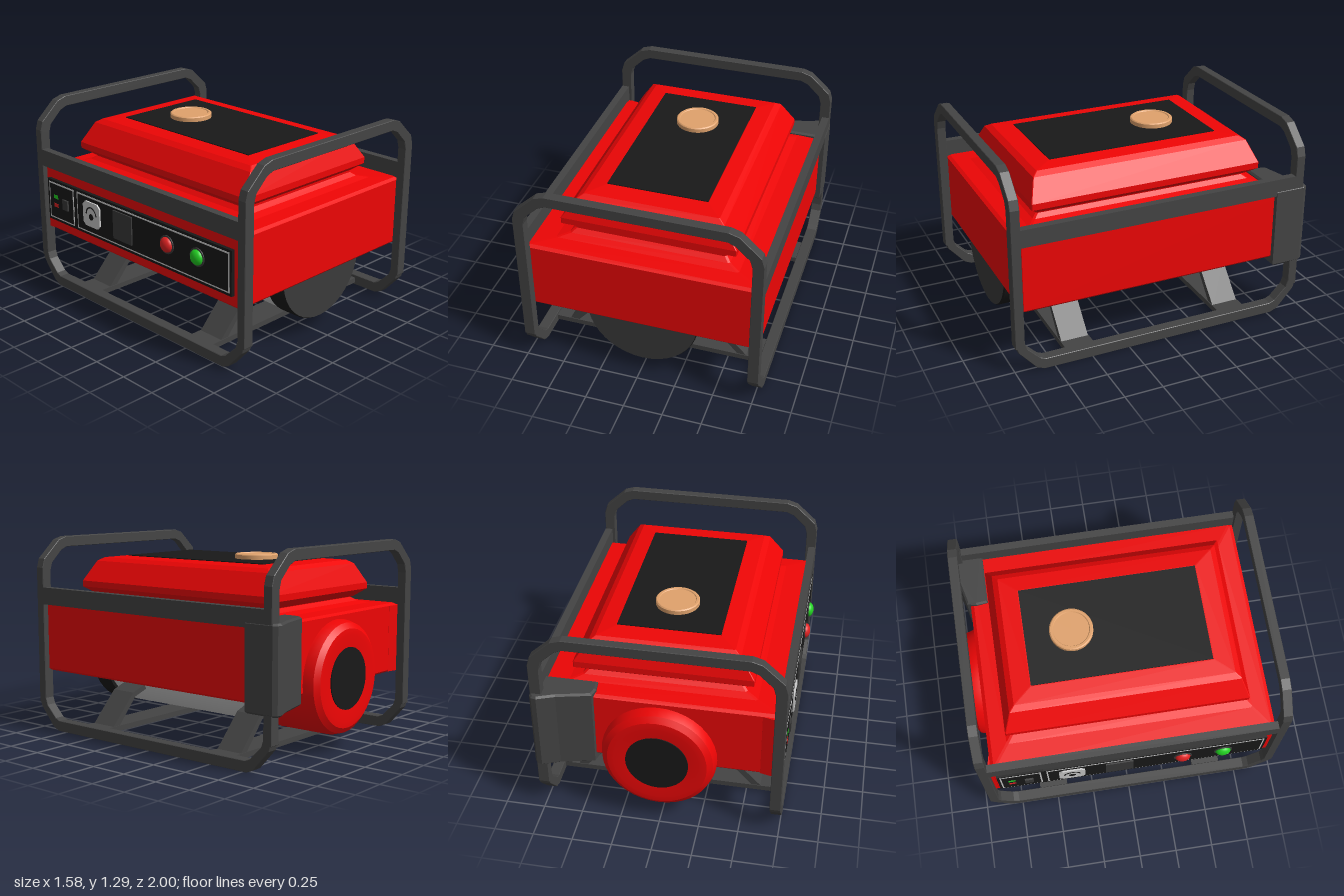
import * as THREE from 'three';
import { toCreasedNormals } from 'three/addons/utils/BufferGeometryUtils.js';

const CX = 0.015; // centre line of the machine in x
const CZ = 0.02;  // centre of the frame in z

const mat = (color, flatShading = false) => new THREE.MeshStandardMaterial({ color, flatShading });
const RED = mat(0xee0505), RED_FLAT = mat(0xee0505, true), STEEL = mat(0x444444, true);
const BLACK = mat(0x191919), SILVER = mat(0xc4c4c4), TAN = mat(0xe0a26c), GREY = mat(0xcccccc);
const GREEN = mat(0x22d022), BUTTON_RED = mat(0xe02222), DARK = mat(0x3a3a3a);

export function createModel() {
  const model = new THREE.Group();
  model.name = 'portableGenerator';

  const add = (name, geometry, material, x = 0, y = 0, z = 0, parent = model) => {
    const mesh = new THREE.Mesh(geometry, material);
    mesh.name = name;
    mesh.position.set(x, y, z);
    parent.add(mesh);
    return mesh;
  };
  const box = (name, m, w, h, d, x, y, z, parent) => add(name, new THREE.BoxGeometry(w, h, d), m, x, y, z, parent);

  // Extrusion along z, centred, with a small bevel kept inside the outline
  const extrude = (points, depth, bevel) => {
    const shape = new THREE.Shape(points.map(([x, y]) => new THREE.Vector2(x, y)));
    const g = new THREE.ExtrudeGeometry(shape, {
      depth: depth - 2 * bevel, bevelEnabled: bevel > 0, bevelSize: bevel,
      bevelThickness: bevel, bevelOffset: -bevel, bevelSegments: 1,
    });
    return g.translate(0, 0, bevel - depth / 2);
  };

  // Symmetric bent bar: half of the outer and inner outlines, mirrored
  const bentBar = (outer, inner, depth) => {
    const flip = (pts) => pts.map(([x, y]) => [-x, y]);
    return extrude([...outer, ...flip(outer).reverse(), ...flip(inner), ...[...inner].reverse()], depth, 0.003);
  };

  // Loft through chamfered rectangles, each ring being [y, halfX, halfZ]
  const loft = (rings, c) => {
    const pos = [], idx = [];
    const ring = (hx, hz) => [
      [hx, hz - c], [hx - c, hz], [c - hx, hz], [-hx, hz - c],
      [-hx, c - hz], [c - hx, -hz], [hx - c, -hz], [hx, c - hz]];
    for (const [y, hx, hz] of rings) for (const [x, z] of ring(hx, hz)) pos.push(x, y, z);
    for (let r = 0; r < rings.length - 1; r++) {
      for (let i = 0; i < 8; i++) {
        const a = r * 8 + i, b = r * 8 + (i + 1) % 8;
        idx.push(a, a + 8, b, b, a + 8, b + 8);
      }
    }
    const top = (rings.length - 1) * 8;
    for (let i = 1; i < 7; i++) idx.push(0, i, i + 1, top, top + i + 1, top + i);
    const g = new THREE.BufferGeometry();
    g.setAttribute('position', new THREE.Float32BufferAttribute(pos, 3));
    g.setIndex(idx);
    g.computeVertexNormals();
    return g;
  };

  // Turned part along z, profile as [radius, z] from back to front
  const turned = (profile) => toCreasedNormals(
    new THREE.LatheGeometry(profile.map(([r, z]) => new THREE.Vector2(r, z)), 40).rotateX(Math.PI / 2), 0.4);

  // Frame: end hoops
  const hoop = bentBar(
    [[0.77, 0.18], [0.77, 1.09], [0.752, 1.15], [0.62, 1.27], [0.555, 1.29]],
    [[0.7, 0.18], [0.7, 1.065], [0.684, 1.12], [0.6, 1.2], [0.55, 1.221]], 0.06);
  add('frontHoop', hoop, STEEL, CX, 0, CZ + 0.95);
  add('backHoop', hoop, STEEL, CX, 0, CZ - 0.95);

  // Frame: bottom runners and upper side rails
  const runner = bentBar(
    [[0.98, 0.21], [0.962, 0.15], [0.85, 0.022], [0.8, 0]],
    [[0.92, 0.21], [0.905, 0.165], [0.825, 0.085], [0.79, 0.07]], 0.07).rotateY(Math.PI / 2);
  for (const side of [-1, 1]) {
    const label = side > 0 ? 'left' : 'right';
    add(label + 'Runner', runner, STEEL, CX + side * 0.735, 0, CZ);
    box(label + 'Rail', STEEL, 0.05, 0.113, 1.86, CX + side * 0.745, 0.904, CZ);
  }

  // Cross plates with angled engine mounts
  const mountOutline = [[0.62, 0.035], [0.415, 0.252], [0.25, 0.31], [0.25, 0.272], [0.395, 0.222], [0.56, 0.035]];
  for (const z of [0.555, -0.52]) {
    box('crossPlate', STEEL, 1.42, 0.035, 0.19, CX, 0.033, z);
    for (const side of [-1, 1]) {
      add('engineMount', extrude(mountOutline.map(([x, y]) => [side * x, y]), 0.18, 0), STEEL, CX, 0, z);
    }
  }

  // Body housing, with a lip on the back right corner
  add('housing', loft([
    [0.402, 0.732, 0.902], [0.414, 0.742, 0.912], [0.845, 0.742, 0.912], [0.858, 0.72, 0.89],
    [0.866, 0.58, 0.79], [0.882, 0.51, 0.74], [0.905, 0.482, 0.71], [0.92, 0.485, 0.71]], 0.012),
  RED_FLAT, CX, 0, 0.028);
  const lip = [[-0.725, 0.86], [-0.6, 0.86], [-0.61, 0.885], [-0.7, 0.905], [-0.725, 0.895]];
  add('housingLip', extrude(lip, 0.44, 0).rotateX(-Math.PI / 2), RED_FLAT, 0, 0.625, 0);

  // Fuel tank with top panel and cap
  add('fuelTank', loft([
    [0.91, 0.482, 0.71], [0.96, 0.553, 0.773], [1.0, 0.553, 0.773], [1.13, 0.463, 0.725],
    [1.153, 0.425, 0.69], [1.163, 0.325, 0.575]], 0.004), RED_FLAT, CX, 0, 0.017);
  box('tankPanel', BLACK, 0.64, 0.012, 1.138, CX, 1.162, 0.016);
  const cap = [[0, 0], [0.138, 0], [0.138, 0.032], [0.131, 0.038], [0.117, 0.038], [0.113, 0.033], [0, 0.033]];
  add('fuelCap', toCreasedNormals(
    new THREE.LatheGeometry(cap.map(([r, y]) => new THREE.Vector2(r, y)), 40), 0.4), TAN, CX, 1.162, -0.257);

  // Engine and alternator along z
  const engine = new THREE.Group();
  engine.name = 'engine';
  engine.position.set(CX, 0.463, 0);
  model.add(engine);
  add('alternatorBarrel', turned([[0.33, -0.56], [0.33, -0.33], [0.353, -0.2], [0.353, 0.73], [0.335, 0.79]]),
    SILVER, 0, 0, 0, engine);
  add('endCover', turned([[0, 0.78], [0.36, 0.78], [0.36, 0.91], [0.354, 0.92]]), BLACK, 0, 0, 0, engine);
  add('endPlate', turned([[0.354, 0.92], [0, 0.92]]), DARK, 0, 0, 0, engine);
  add('starterCover', turned([
    [0, -0.972], [0.2, -0.972], [0.27, -0.98], [0.31, -0.976], [0.345, -0.95], [0.36, -0.9], [0.36, -0.55], [0, -0.55]]),
    RED, 0, 0, 0, engine);
  add('starterVent', turned([[0, -0.978], [0.195, -0.978], [0.195, -0.96]]), BLACK, 0, 0, 0, engine);

  // Exhaust box wrapped round the back left corner (outline as x, z)
  const exhaust = extrude([
    [0.405, 0.845], [0.412, 0.768], [0.788, 0.768], [0.788, 0.965], [0.77, 0.992],
    [0.738, 0.998], [0.63, 0.955], [0.42, 0.905]], 0.535, 0.012).rotateX(-Math.PI / 2);
  add('exhaustBox', exhaust, STEEL, 0, 0.617, 0);

  // Control panel on the right side
  const panel = new THREE.Group();
  panel.name = 'controlPanel';
  panel.position.set(-0.7, 0.625, 0);
  model.add(panel);
  for (const [z0, z1] of [[-0.86, -0.56], [-0.56, 0.89]]) {
    const z = (z0 + z1) / 2, d = z1 - z0;
    box('panelPlate', BLACK, 0.07, 0.29, d, -0.015, 0, z, panel);
    box('panelBorder', GREY, 0.004, 0.255, d - 0.035, -0.05, 0, z, panel);
    box('panelFace', BLACK, 0.006, 0.235, d - 0.055, -0.0505, 0, z, panel);
  }
  const disc = (r, h) => new THREE.CylinderGeometry(r, r, h, 24).rotateZ(Math.PI / 2);

  // Indicator lights and rocker switch
  box('greenLight', GREEN, 0.006, 0.025, 0.045, -0.053, 0.03, -0.77, panel);
  box('redLight', BUTTON_RED, 0.006, 0.025, 0.045, -0.053, -0.03, -0.77, panel);
  box('rockerSwitch', DARK, 0.016, 0.07, 0.055, -0.058, 0, -0.66, panel);

  // Voltage gauge: an eight-sided plate with a dial
  const plate = [[0.085, 0.06], [0.06, 0.085], [-0.06, 0.085], [-0.085, 0.06],
    [-0.085, -0.06], [-0.06, -0.085], [0.06, -0.085], [0.085, -0.06]];
  add('gaugeFace', extrude(plate, 0.014, 0).rotateY(Math.PI / 2), GREY, -0.057, 0.01, -0.38, panel);
  const arc = new THREE.TorusGeometry(0.05, 0.005, 6, 20, Math.PI).rotateY(-Math.PI / 2);
  add('gaugeScale', arc, BLACK, -0.063, 0.01, -0.38, panel);
  add('gaugeHub', disc(0.022, 0.006), BLACK, -0.063, -0.005, -0.38, panel);

  // Outlet cover
  box('outletCover', DARK, 0.014, 0.19, 0.18, -0.056, 0.01, -0.07, panel);

  // Start and stop buttons
  for (const [name, m, z] of [['stopButton', BUTTON_RED, 0.345], ['startButton', GREEN, 0.61]]) {
    add(name + 'Ring', disc(0.06, 0.01), DARK, -0.055, 0.02, z, panel);
    const dome = new THREE.SphereGeometry(0.05, 24, 10, 0, Math.PI * 2, 0, Math.PI / 2);
    add(name, dome.scale(1, 0.65, 1).rotateZ(Math.PI / 2), m, -0.058, 0.02, z, panel);
  }

  return model;
}
